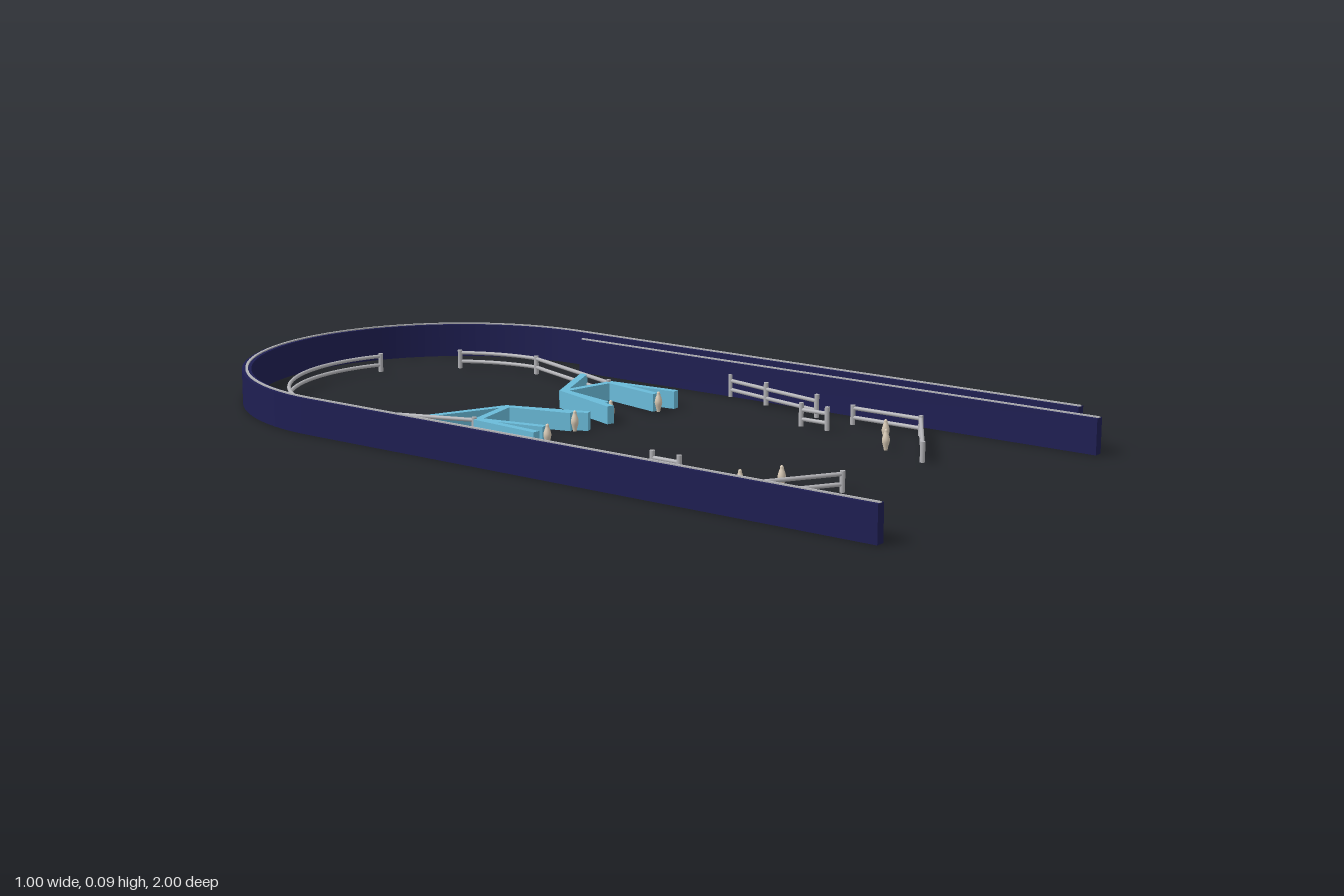
import * as THREE from 'three';

const mat = (name, color) => {
  const m = new THREE.MeshStandardMaterial({ color });
  m.name = name;
  return m;
};

export function createModel() {
  const root = new THREE.Group();
  root.name = 'playfield';
  const navy = mat('navy wall', 0x1e1e52);
  const blue = mat('sky blue', 0x6abbd9);
  const steel = mat('steel grey', 0xb2b2b6);
  const cream = mat('cream', 0xd6c8b4);
  const AXIS = -0.04; // mirror line of the inner furniture

  const add = (name, geo, material, x = 0, y = 0, z = 0, parent = root) => {
    const m = new THREE.Mesh(geo, material);
    m.name = name;
    m.position.set(x, y, z);
    parent.add(m);
    return m;
  };
  const mirror = (p) => [2 * AXIS - p[0], p[1]];

  // Outer walls and lane divider, each with a thin steel trim along the top
  const wall = (name, x, z0, z1) => {
    const z = (z0 + z1) / 2;
    add(name, new THREE.BoxGeometry(0.022, 0.082, z1 - z0), navy, x, 0.041, z);
    add(name + 'Trim', new THREE.BoxGeometry(0.006, 0.003, z1 - z0), steel, x, 0.0835, z);
  };
  wall('rightWall', -0.488, -0.501, 1);
  wall('leftWall', 0.488, -0.501, 0.915);
  wall('laneDivider', 0.412, -0.43, 1);

  // Half-round wall at the back
  const halfRing = (name, inner, outer, y, height, material) => {
    const shape = new THREE.Shape();
    shape.absarc(0, 0, outer, 0, Math.PI, false);
    shape.absarc(0, 0, inner, Math.PI, 0, true);
    shape.closePath();
    const geo = new THREE.ExtrudeGeometry(shape, { depth: height, bevelEnabled: false, curveSegments: 40 });
    geo.rotateX(-Math.PI / 2);
    add(name, geo, material, 0, y, -0.501);
  };
  halfRing('backArch', 0.477, 0.499, 0, 0.082, navy);
  halfRing('backArchTrim', 0.485, 0.491, 0.082, 0.003, steel);

  // Straight rod between two points on the floor plan
  const rod = (a, b, y, parent) => {
    const dx = b[0] - a[0], dz = b[1] - a[1];
    const m = add('rail', new THREE.CylinderGeometry(0.0046, 0.0046, Math.hypot(dx, dz), 16), steel,
      (a[0] + b[0]) / 2, y, (a[1] + b[1]) / 2, parent);
    m.quaternion.setFromUnitVectors(new THREE.Vector3(0, 1, 0), new THREE.Vector3(dx, 0, dz).normalize());
  };
  const post = (p, parent, h) =>
    add('post', new THREE.CylinderGeometry(0.0058, 0.0058, h, 16), steel, p[0], h / 2, p[1], parent);

  // Two-rail fence along a list of points, with posts of one height
  const fence = (name, pts, posts, height) => {
    const g = new THREE.Group();
    g.name = name;
    root.add(g);
    for (let i = 1; i < pts.length; i++)
      for (const y of [0.017, 0.039]) rod(pts[i - 1], pts[i], y, g);
    posts.forEach((p) => post(p, g, height));
  };
  const fencePair = (name, pts, height) => {
    const other = pts.map(mirror);
    fence(name + 'Right', pts, pts, height);
    fence(name + 'Left', other, other, height);
  };
  fencePair('cornerFence', [[-0.41, 0.42], [-0.41, 0.6], [-0.2, 0.73]], 0.046);
  fencePair('shortFence', [[-0.325, 0.335], [-0.325, 0.405]], 0.055);
  fencePair('sideFence', [[-0.482, 0.03], [-0.455, 0.15], [-0.42, 0.315]], 0.055);
  fence('laneStop', [[0.422, 0.875], [0.478, 0.875]], [], 0);

  // Curved rails around the back: smooth tubes joined to a straight run
  const curvedFence = (name, start, from, to) => {
    const g = new THREE.Group();
    g.name = name;
    root.add(g);
    const at = (a) => [AXIS + 0.36 * Math.cos(a), -0.503 - 0.36 * Math.sin(a)];
    const steps = Array.from({ length: 25 }, (_, i) => at(from + ((to - from) * i) / 24));
    for (const y of [0.017, 0.039]) {
      rod(start, steps[0], y, g);
      const curve = new THREE.CatmullRomCurve3(steps.map((p) => new THREE.Vector3(p[0], y, p[1])));
      add('curvedRail', new THREE.TubeGeometry(curve, 64, 0.0046, 12), steel, 0, 0, 0, g);
    }
    [start, steps[0], steps[24]].forEach((p) => post(p, g, 0.046));
  };
  curvedFence('longArcRail', [-0.287, -0.19], Math.PI, 1.15);
  curvedFence('shortArcRail', [0.207, -0.19], 0, 0.585);

  // Blue branching guides, one bar per segment
  const bars = [
    [[-0.32, -0.29], [-0.14, -0.212]],
    [[-0.14, -0.212], [-0.29, -0.18]],
    [[-0.285, -0.185], [-0.3, 0]],
    [[-0.283, -0.185], [-0.247, -0.02]],
    [[-0.145, -0.215], [-0.08, -0.025]],
    [[-0.145, -0.215], [-0.105, -0.055]],
  ];
  for (const side of ['Right', 'Left']) {
    const g = new THREE.Group();
    g.name = 'guide' + side;
    root.add(g);
    for (const seg of bars) {
      const [a, b] = side === 'Right' ? seg : seg.map(mirror);
      const dx = b[0] - a[0], dz = b[1] - a[1];
      const bar = add('guideBar', new THREE.BoxGeometry(0.018, 0.042, Math.hypot(dx, dz)), blue,
        (a[0] + b[0]) / 2, 0.021, (a[1] + b[1]) / 2, g);
      bar.rotation.y = Math.atan2(dx, dz);
    }
  }

  // Smooth spindle-shaped pins
  const outline = new THREE.SplineCurve([[0.004, 0], [0.0055, 0.008], [0.0088, 0.021], [0.0075, 0.031], [0.0042, 0.041], [0.0035, 0.046], [0, 0.049]]
    .map(([r, y]) => new THREE.Vector2(r, y)));
  const pinGeo = new THREE.LatheGeometry(outline.getPoints(20), 20);
  for (const p of [[-0.325, 0.56], [-0.245, 0.61], [-0.247, -0.012], [-0.107, -0.045]])
    for (const q of [p, mirror(p)]) add('pin', pinGeo, cream, q[0], 0, q[1]);

  return root;
}
